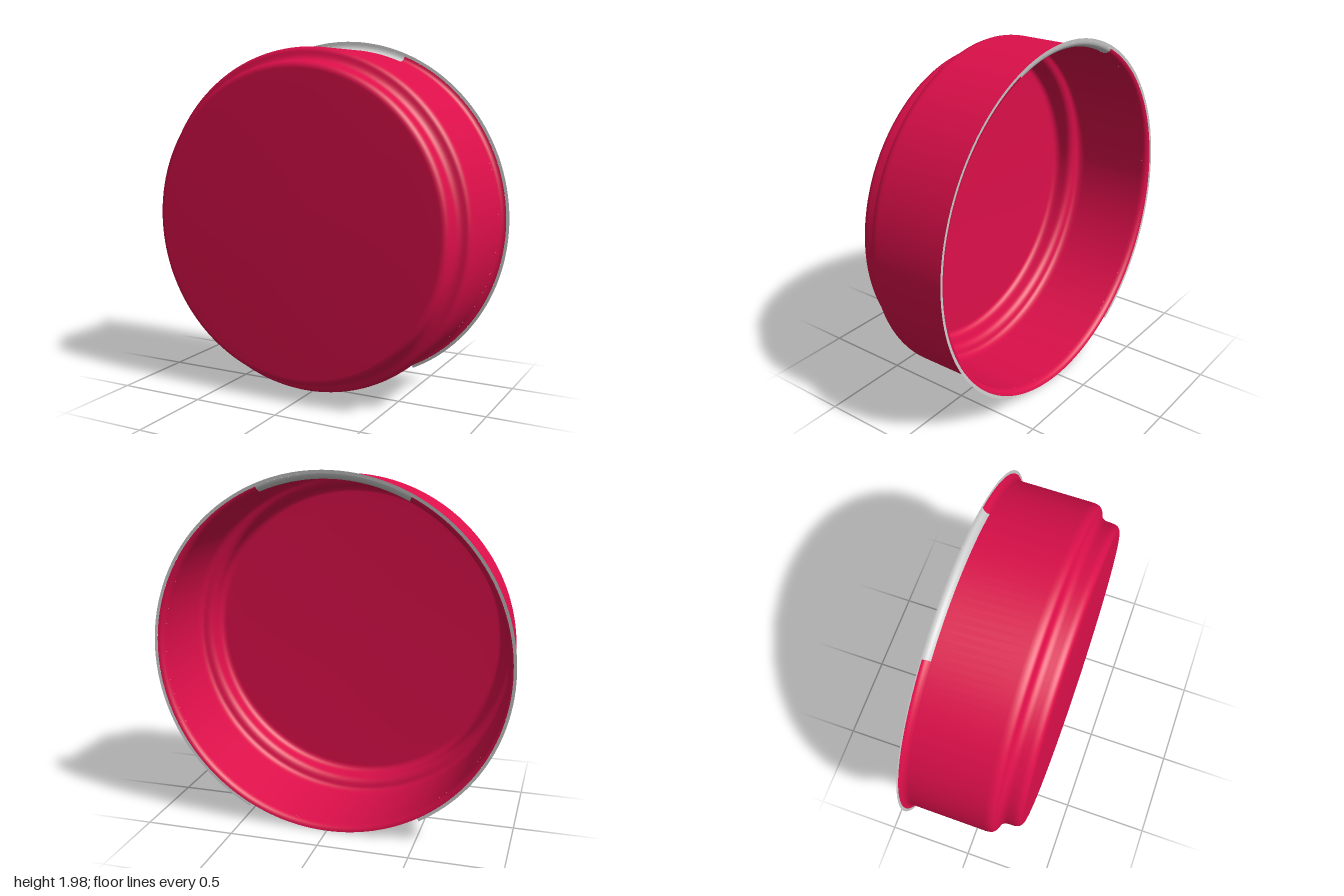
import * as THREE from 'three';

const CENTRE_Y = 0.985;
const BODY_R = 0.953;
const LIP_R = 0.983;
const RIM_R = 1.0;
const BACK_Z = -0.324;
const FLARE_Z = -0.285;

const red = new THREE.MeshStandardMaterial({ color: 0xdc0f4a, side: THREE.DoubleSide });
const grey = new THREE.MeshStandardMaterial({ color: 0xcccccc, side: THREE.DoubleSide });

// Revolves a (radius, z) profile about the z axis; angles in degrees, from the bottom towards +x
function revolve(name, points, material, from = 0, to = 360) {
  const rad = THREE.MathUtils.degToRad;
  const segments = Math.max(8, Math.ceil((to - from) / 2.5));
  const geometry = new THREE.LatheGeometry(points, segments, rad(from), rad(to - from));
  geometry.rotateX(Math.PI / 2);
  const mesh = new THREE.Mesh(geometry, material);
  mesh.name = name;
  return mesh;
}

// Stepped cup wall and slightly domed front, from back to front
function shellProfile() {
  const path = new THREE.Path();
  path.moveTo(BODY_R, FLARE_Z);
  path.lineTo(0.955, 0.13);
  path.quadraticCurveTo(0.955, 0.178, 0.925, 0.185);
  path.quadraticCurveTo(0.882, 0.195, 0.88, 0.235);
  path.lineTo(0.879, 0.265);
  path.quadraticCurveTo(0.877, 0.308, 0.84, 0.312);
  path.quadraticCurveTo(0.45, 0.322, 0, 0.324);
  return path.getPoints(8);
}

// Fillet that opens the wall out to the lip
function flareProfile(z) {
  const path = new THREE.Path();
  path.moveTo(LIP_R, z);
  path.quadraticCurveTo(0.955, -0.318, BODY_R, FLARE_Z);
  return path.getPoints(8);
}

export function createModel() {
  const group = new THREE.Group();
  group.name = 'roundCover';

  group.add(revolve('shell', shellProfile(), red));

  // Flared lip, coloured except for a plain stretch at the top
  const flare = flareProfile(BACK_Z + 0.002);
  group.add(revolve('flaredLip', flare, red, 207, 517.5));
  group.add(revolve('topLip', flare, grey, 157.5, 207));

  // Thin outer rim, interrupted at the bottom
  const rim = [
    new THREE.Vector2(RIM_R, BACK_Z),
    new THREE.Vector2(LIP_R, BACK_Z + 0.002),
  ];
  group.add(revolve('outerRim', rim, grey, 27, 328.7));

  group.position.y = CENTRE_Y;
  const model = new THREE.Group();
  model.name = 'cover';
  model.add(group);
  return model;
}
